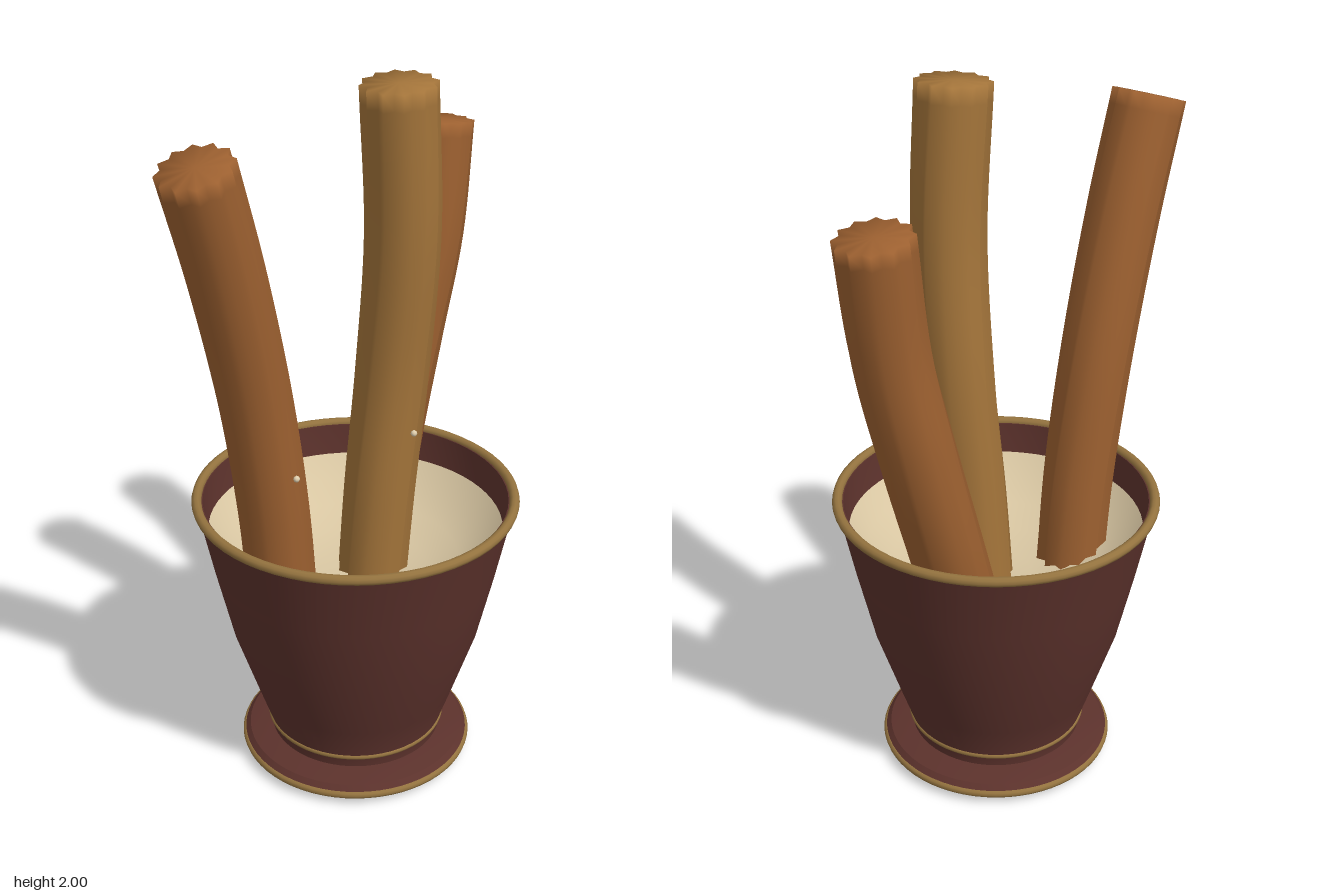
import * as THREE from 'three';
import { toCreasedNormals } from 'three/addons/utils/BufferGeometryUtils.js';

const mat = (color) => new THREE.MeshStandardMaterial({ color, side: THREE.DoubleSide });
const CUP = mat(0x5c322c), GOLD = mat(0x94733f), CREAM = mat(0xd8c6a2);
const DOUGH = mat(0x9c6030), LIGHT_DOUGH = mat(0xa3743a), SUGAR = mat(0xe0cfae);

function add(parent, name, geometry, material) {
  const mesh = new THREE.Mesh(geometry, material);
  mesh.name = name;
  parent.add(mesh);
  return mesh;
}

function lathe(points, crease) {
  const geo = new THREE.LatheGeometry(points.map(([r, y]) => new THREE.Vector2(r, y)), 64);
  return crease ? toCreasedNormals(geo, crease) : geo;
}

function ring(parent, name, radius, tube, y) {
  const mesh = add(parent, name, new THREE.TorusGeometry(radius, tube, 10, 64), GOLD);
  mesh.rotation.x = Math.PI / 2;
  mesh.position.y = y;
}

// Fluted star section swept along a curve, closed at both ends
function flutedStick(path, outer, inner, ridges, twist) {
  const curve = new THREE.CatmullRomCurve3(path.map((p) => new THREE.Vector3(...p)));
  const steps = 32, sides = ridges * 2;
  const frames = curve.computeFrenetFrames(steps, false);
  const pos = [], index = [];
  for (let i = 0; i <= steps; i++) {
    const t = i / steps, c = curve.getPointAt(t);
    for (let j = 0; j < sides; j++) {
      const a = (j / sides) * Math.PI * 2 + twist * t;
      const r = j % 2 ? inner : outer;
      const p = c.clone()
        .addScaledVector(frames.normals[i], Math.cos(a) * r)
        .addScaledVector(frames.binormals[i], Math.sin(a) * r);
      pos.push(p.x, p.y, p.z);
    }
  }
  for (let i = 0; i < steps; i++) {
    for (let j = 0; j < sides; j++) {
      const k = (j + 1) % sides;
      const a = i * sides + j, b = i * sides + k, c = a + sides, d = b + sides;
      index.push(a, b, c, b, d, c);
    }
  }
  // End caps
  const bottom = pos.length / 3, top = bottom + 1, last = steps * sides;
  pos.push(...curve.getPointAt(0).toArray(), ...curve.getPointAt(1).toArray());
  for (let j = 0; j < sides; j++) {
    const k = (j + 1) % sides;
    index.push(bottom, k, j, top, last + j, last + k);
  }
  const geo = new THREE.BufferGeometry();
  geo.setAttribute('position', new THREE.Float32BufferAttribute(pos, 3));
  geo.setIndex(index);
  geo.computeVertexNormals();
  return geo;
}

export function createModel() {
  const model = new THREE.Group();
  model.name = 'pastrySticksInCup';

  // Saucer-like foot
  add(model, 'saucer', lathe([
    [0, 0.005], [0.3, 0.005], [0.33, 0.03], [0.33, 0.045], [0.315, 0.06], [0.24, 0.075], [0, 0.075],
  ], 0.5), CUP);
  ring(model, 'saucerTrim', 0.325, 0.012, 0.035);

  // Tapered cup with an open mouth
  add(model, 'cup', lathe([
    [0, 0.07], [0.248, 0.07], [0.25, 0.1], [0.29, 0.22], [0.355, 0.42], [0.4, 0.62], [0.435, 0.79],
    [0.445, 0.83], [0.425, 0.83], [0.413, 0.73], [0.4, 0.68],
  ], 0.8), CUP);
  ring(model, 'baseTrim', 0.25, 0.009, 0.11);
  ring(model, 'rim', 0.442, 0.014, 0.83);

  // Dished cream filling
  const bowl = [[0, 0.58], [0.1, 0.583], [0.2, 0.6], [0.29, 0.635], [0.36, 0.68], [0.413, 0.74]];
  add(model, 'cream', lathe(bowl), CREAM);

  // Fluted pastry sticks, each with one grain of sugar
  const sticks = [
    { name: 'rightStick', material: DOUGH, grain: [-0.245, 0.985, 0.022], path: [
      [-0.205, 0.53, -0.085], [-0.235, 0.84, -0.08], [-0.295, 1.2, -0.075], [-0.395, 1.58, -0.055], [-0.495, 1.885, -0.035]] },
    { name: 'middleStick', material: LIGHT_DOUGH, grain: [0.085, 1.04, 0.138], path: [
      [0.05, 0.53, 0.015], [0.065, 0.84, 0.03], [0.09, 1.2, 0.05], [0.09, 1.6, 0.082], [0.063, 1.997, 0.088]] },
    { name: 'leftStick', material: DOUGH, grain: [0.345, 0.975, -0.073], path: [
      [0.2, 0.55, -0.125], [0.295, 0.84, -0.155], [0.385, 1.16, -0.16], [0.45, 1.45, -0.15], [0.495, 1.765, -0.16]] },
  ];
  for (const { name, material, grain, path } of sticks) {
    const group = new THREE.Group();
    group.name = name;
    add(group, name + 'Dough', flutedStick(path, 0.1, 0.083, 12, 0.35), material);
    add(group, name + 'Sugar', new THREE.SphereGeometry(0.009, 8, 6), SUGAR).position.set(...grain);
    model.add(group);
  }
  return model;
}
